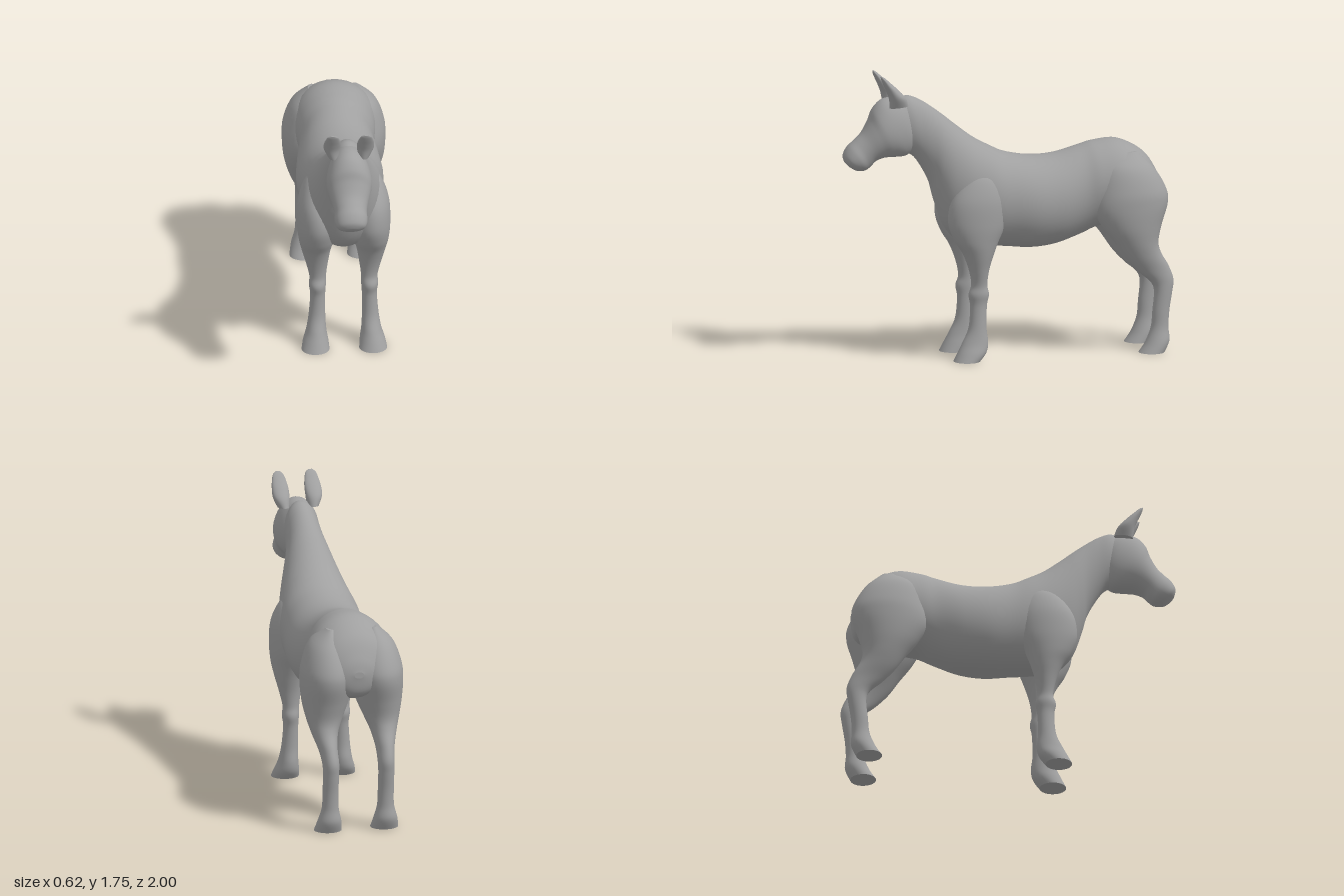
import * as THREE from 'three';

const coat = new THREE.MeshStandardMaterial({ color: 0xa0a0a0 });
coat.name = 'grey';

// Uniform Catmull-Rom blend of four numbers
function blend(a, b, c, d, t) {
  return 0.5 * (2 * b + (c - a) * t + (2 * a - 5 * b + 4 * c - d) * t * t + (3 * b - a - 3 * c + d) * t * t * t);
}

// Smooth loft through oval sections, each [z1, y1, z2, y2, x, halfWidth]:
// two opposite rim points in the side plane, the sideways centre and half width.
function loft(name, sections, side = 1, steps = 6, sides = 36) {
  const rows = [];
  const last = sections.length - 1;
  const at = (i) => sections[Math.min(Math.max(i, 0), last)];
  for (let i = 0; i < last; i++) {
    for (let s = 0; s < steps; s++) {
      rows.push(at(i).map((v, k) => blend(at(i - 1)[k], v, at(i + 1)[k], at(i + 2)[k], s / steps)));
    }
  }
  rows.push(at(last));

  const pos = [];
  const index = [];
  const addRing = ([z1, y1, z2, y2, x, w]) => {
    for (let j = 0; j < sides; j++) {
      const a = (j / sides) * Math.PI * 2;
      const c = Math.cos(a) / 2;
      pos.push(side * x + w * Math.sin(a), (y1 + y2) / 2 + (y1 - y2) * c, (z1 + z2) / 2 + (z1 - z2) * c);
    }
  };
  rows.forEach(addRing);
  for (let i = 0; i < rows.length - 1; i++) {
    for (let j = 0; j < sides; j++) {
      const a = i * sides + j;
      const b = i * sides + ((j + 1) % sides);
      index.push(a, b, a + sides, b, b + sides, a + sides);
    }
  }
  // End caps with their own rims, so soles stay sharp
  [rows[0], rows[rows.length - 1]].forEach((r, end) => {
    const start = pos.length / 3;
    addRing(r);
    pos.push(side * r[4], (r[1] + r[3]) / 2, (r[0] + r[2]) / 2);
    for (let j = 0; j < sides; j++) {
      const a = start + j;
      const b = start + ((j + 1) % sides);
      if (end) index.push(a, b, start + sides);
      else index.push(b, a, start + sides);
    }
  });

  // Turn the faces outward when the enclosed volume comes out negative
  let volume = 0;
  const p = [new THREE.Vector3(), new THREE.Vector3(), new THREE.Vector3()];
  for (let i = 0; i < index.length; i += 3) {
    p.forEach((v, k) => v.fromArray(pos, index[i + k] * 3));
    volume += p[0].dot(p[1].cross(p[2]));
  }
  if (volume < 0) index.reverse();

  const geometry = new THREE.BufferGeometry();
  geometry.setAttribute('position', new THREE.Float32BufferAttribute(pos, 3));
  geometry.setIndex(index);
  geometry.computeVertexNormals();
  const mesh = new THREE.Mesh(geometry, coat);
  mesh.name = name;
  return mesh;
}

// Rump, barrel, chest and neck in one sweep: top point, bottom point
const body = [
  [-0.955, 1.0, -0.955, 0.96, 0, 0.03],
  [-0.93, 1.08, -0.93, 0.86, 0, 0.12],
  [-0.85, 1.2, -0.85, 0.81, 0, 0.21],
  [-0.7, 1.28, -0.7, 0.77, 0, 0.25],
  [-0.55, 1.275, -0.56, 0.755, 0, 0.238],
  [-0.45, 1.25, -0.45, 0.71, 0, 0.225],
  [-0.3, 1.212, -0.3, 0.662, 0, 0.25],
  [-0.15, 1.207, -0.15, 0.647, 0, 0.262],
  [0, 1.235, 0, 0.66, 0, 0.25],
  [0.1, 1.28, 0.14, 0.672, 0, 0.245],
  [0.2, 1.335, 0.27, 0.69, 0, 0.225],
  [0.3, 1.41, 0.375, 0.79, 0, 0.19],
  [0.38, 1.475, 0.435, 0.95, 0, 0.155],
  [0.46, 1.535, 0.465, 1.06, 0, 0.127],
  [0.53, 1.58, 0.515, 1.16, 0, 0.112],
  [0.6, 1.607, 0.575, 1.24, 0, 0.105],
  [0.66, 1.595, 0.64, 1.26, 0, 0.09],
];

// Forehead to muzzle: face point, jaw point
const head = [
  [0.62, 1.595, 0.55, 1.42, 0, 0.07],
  [0.7, 1.603, 0.56, 1.3, 0, 0.112],
  [0.77, 1.585, 0.61, 1.245, 0, 0.132],
  [0.82, 1.53, 0.68, 1.237, 0, 0.136],
  [0.845, 1.465, 0.75, 1.235, 0, 0.123],
  [0.885, 1.395, 0.805, 1.215, 0, 0.105],
  [0.93, 1.35, 0.835, 1.185, 0, 0.097],
  [0.972, 1.312, 0.87, 1.163, 0, 0.099],
  [0.998, 1.265, 0.92, 1.163, 0, 0.083],
  [0.995, 1.228, 0.96, 1.185, 0, 0.045],
  [0.984, 1.21, 0.976, 1.2, 0, 0.01],
];

// Ear: front point, back point
const ear = [
  [0.735, 1.55, 0.62, 1.56, 0.09, 0.035],
  [0.742, 1.61, 0.642, 1.615, 0.1, 0.05],
  [0.76, 1.66, 0.688, 1.665, 0.1, 0.05],
  [0.778, 1.7, 0.732, 1.705, 0.1, 0.042],
  [0.79, 1.73, 0.765, 1.735, 0.1, 0.031],
  [0.793, 1.746, 0.785, 1.748, 0.1, 0.012],
];

// Shoulder down to hoof: front point, back point
const foreleg = [
  [0.2, 1.17, 0.15, 1.17, 0.15, 0.015],
  [0.29, 1.1, 0.07, 1.1, 0.16, 0.07],
  [0.37, 0.98, 0.03, 0.98, 0.165, 0.108],
  [0.39, 0.85, 0.04, 0.83, 0.16, 0.12],
  [0.355, 0.74, 0.085, 0.72, 0.163, 0.107],
  [0.3, 0.65, 0.115, 0.64, 0.165, 0.087],
  [0.262, 0.55, 0.14, 0.55, 0.16, 0.066],
  [0.247, 0.46, 0.15, 0.46, 0.155, 0.05],
  [0.264, 0.4, 0.14, 0.4, 0.157, 0.051],
  [0.254, 0.33, 0.152, 0.33, 0.155, 0.045],
  [0.265, 0.2, 0.156, 0.2, 0.16, 0.05],
  [0.305, 0.11, 0.147, 0.11, 0.165, 0.06],
  [0.335, 0.05, 0.16, 0.05, 0.17, 0.075],
  [0.36, 0, 0.2, 0, 0.173, 0.084],
];

// Haunch down to hoof: front point, back point
const hindleg = [
  [-0.68, 1.22, -0.78, 1.22, 0.13, 0.025],
  [-0.57, 1.14, -0.885, 1.12, 0.145, 0.108],
  [-0.52, 1.0, -0.955, 1.0, 0.15, 0.152],
  [-0.51, 0.88, -0.965, 0.91, 0.155, 0.156],
  [-0.565, 0.77, -0.925, 0.78, 0.165, 0.138],
  [-0.64, 0.67, -0.903, 0.68, 0.175, 0.108],
  [-0.71, 0.57, -0.918, 0.61, 0.18, 0.078],
  [-0.785, 0.49, -0.967, 0.525, 0.175, 0.056],
  [-0.855, 0.43, -0.998, 0.44, 0.17, 0.05],
  [-0.88, 0.37, -0.99, 0.36, 0.17, 0.048],
  [-0.87, 0.25, -0.973, 0.25, 0.17, 0.048],
  [-0.86, 0.15, -0.967, 0.15, 0.17, 0.051],
  [-0.825, 0.06, -0.972, 0.07, 0.172, 0.072],
  [-0.785, 0, -0.94, 0, 0.173, 0.084],
];

export function createModel() {
  const model = new THREE.Group();
  model.name = 'horse';
  model.add(loft('bodyAndNeck', body), loft('head', head));
  for (const [label, side] of [['left', 1], ['right', -1]]) {
    model.add(
      loft(label + 'Ear', ear, side),
      loft(label + 'Foreleg', foreleg, side),
      loft(label + 'HindLeg', hindleg, side),
    );
  }
  return model;
}
